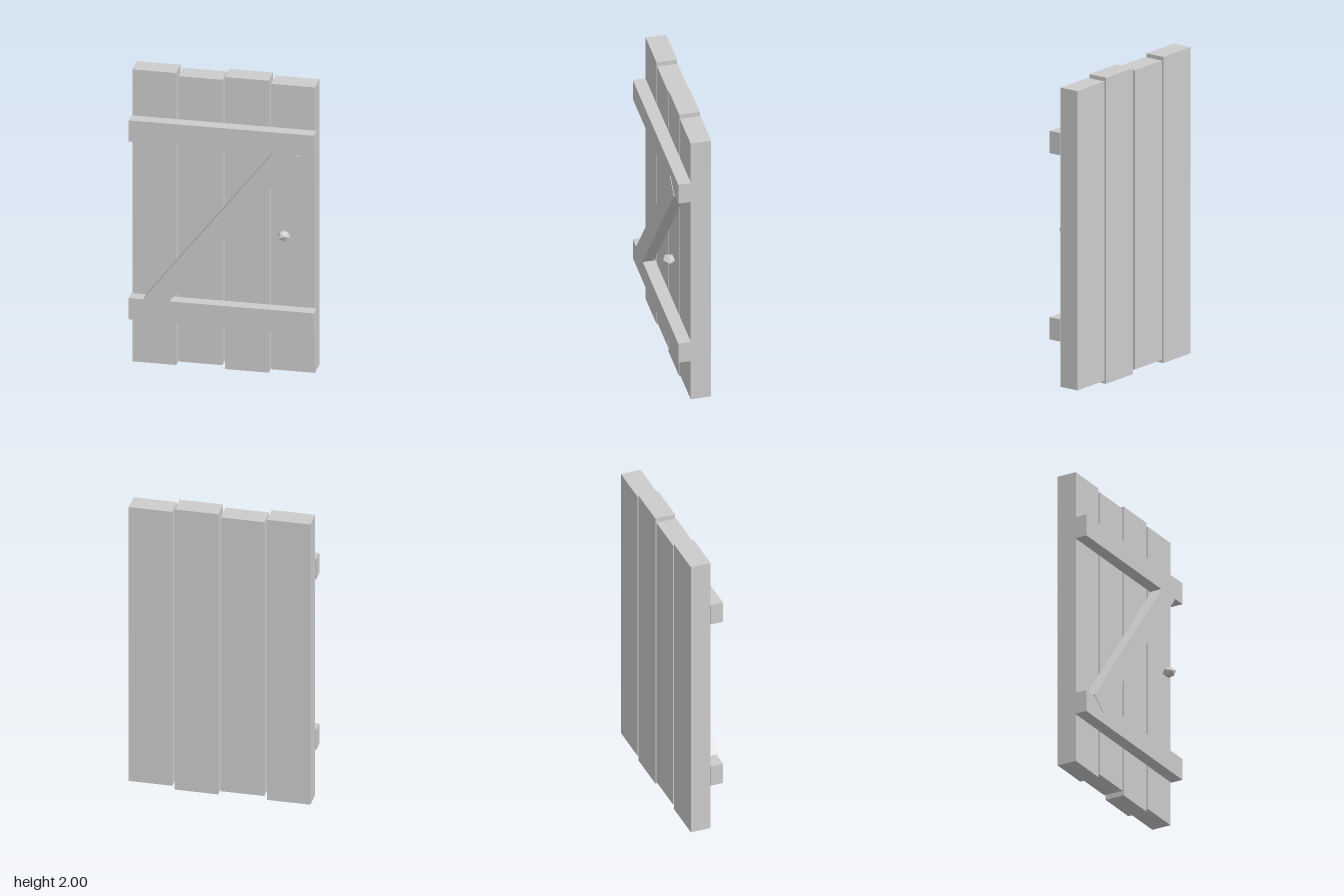
import * as THREE from 'three';

export function createModel() {
  const door = new THREE.Group();
  door.name = 'plankDoor';
  const grey = new THREE.MeshStandardMaterial({ color: 0xcccccc });
  grey.name = 'plain grey';

  const addMesh = (name, geometry) => {
    const mesh = new THREE.Mesh(geometry, grey);
    mesh.name = name;
    door.add(mesh);
    return mesh;
  };
  // Box given by its low and high corners
  const addBox = (name, [x0, y0, z0], [x1, y1, z1]) => {
    const box = addMesh(name, new THREE.BoxGeometry(x1 - x0, y1 - y0, z1 - z0));
    box.position.set((x0 + x1) / 2, (y0 + y1) / 2, (z0 + z1) / 2);
    return box;
  };

  // Four upright planks, every second one slightly shorter
  for (let i = 0; i < 4; i++) {
    const x = -0.588 + i * 0.297;
    const short = i % 2;
    addBox(`plank${i + 1}`, [x, short ? 0.025 : 0, -0.135], [x + 0.281, short ? 1.98 : 2, -0.002]);
  }

  // Crosswise battens
  addBox('lowerBatten', [-0.595, 0.323, -0.002], [0.592, 0.468, 0.08]);
  addBox('upperBatten', [-0.595, 1.54, -0.002], [0.592, 1.685, 0.08]);

  // Diagonal brace, its ends sunk into the battens
  const brace = addMesh('diagonalBrace', new THREE.BoxGeometry(0.134, 1.44, 0.074));
  brace.position.set(-0.002, 1.004, 0.046);
  brace.rotation.z = -Math.atan2(0.835, 1.072);

  // Faceted knob, flattened in height
  const knobShape = new THREE.IcosahedronGeometry(0.044, 0);
  knobShape.rotateX(0.3).rotateY(0.4).scale(1, 0.8, 1);
  knobShape.computeVertexNormals();
  addMesh('knob', knobShape).position.set(0.403, 0.99, 0.096);

  return door;
}
